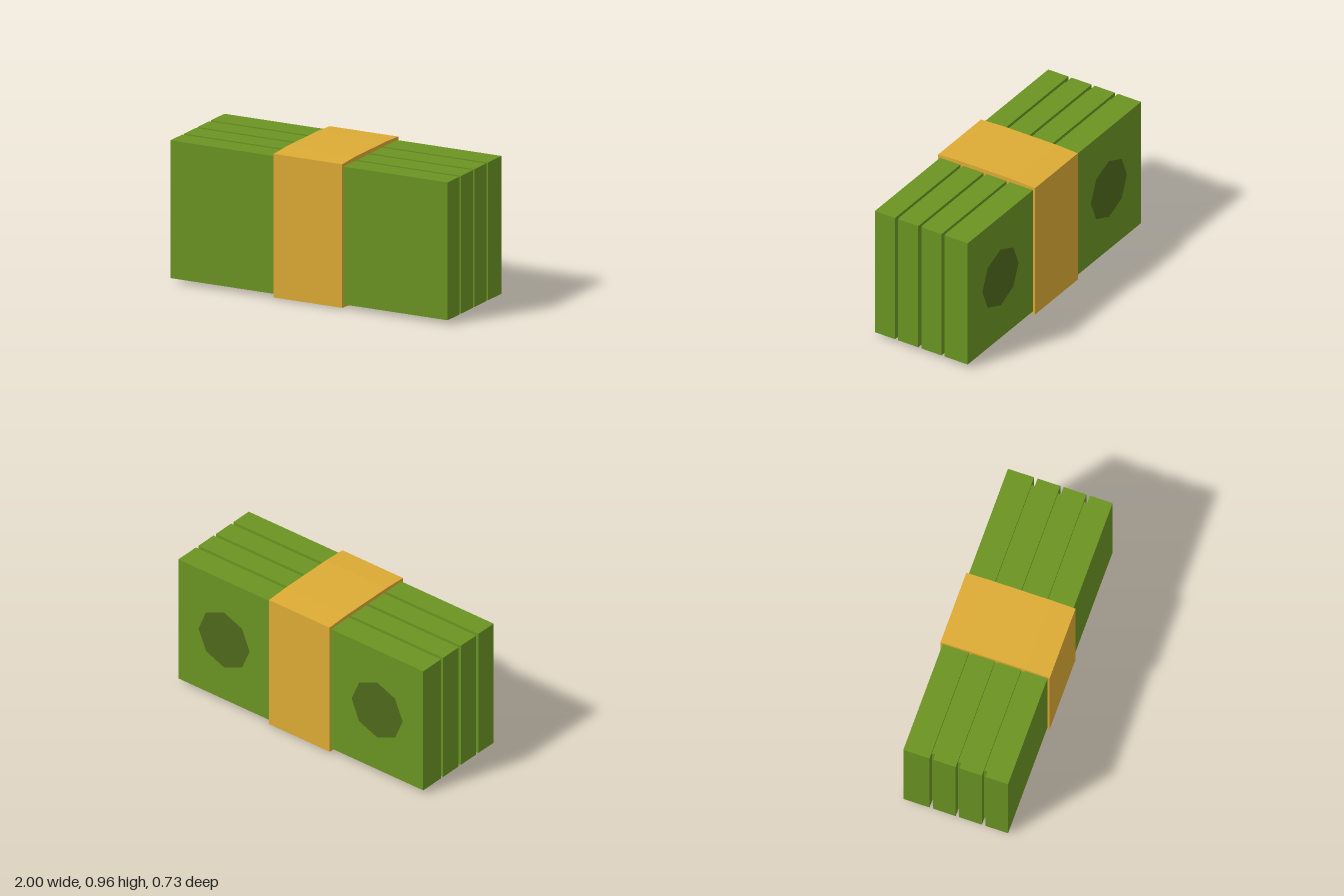
import * as THREE from 'three';

const paint = (color) => new THREE.MeshStandardMaterial({ color, flatShading: true });

export function createModel() {
  const group = new THREE.Group();
  const green = paint(0x6a9322);
  const darkGreen = paint(0x4f691b);
  const gold = paint(0xddab35);

  const add = (name, geometry, material, x, y, z) => {
    const mesh = new THREE.Mesh(geometry, material);
    mesh.name = name;
    mesh.position.set(x, y, z);
    group.add(mesh);
    return mesh;
  };

  // Four stacks of notes standing side by side: [front z, back z]
  const midY = 0.481;
  const stacks = [[0.35, 0.198], [0.175, 0.023], [0, -0.152], [-0.175, -0.35]];
  stacks.forEach(([front, back], i) => {
    add(`noteStack${i + 1}`, new THREE.BoxGeometry(2, 0.904, front - back), green, 0, midY, (front + back) / 2);
    // Recessed filler in the gap behind each stack
    if (i < stacks.length - 1) {
      const next = stacks[i + 1][0];
      add(`gapFiller${i + 1}`, new THREE.BoxGeometry(1.91, 0.862, back - next), green, 0, midY, (back + next) / 2);
    }
  });

  // Paper band around the middle, slightly bulged at top and bottom
  const profile = new THREE.Shape([
    [-0.365, 0.01], [-0.2, 0], [0.2, 0], [0.365, 0.01],
    [0.365, 0.952], [0.2, 0.96], [-0.2, 0.96], [-0.365, 0.952],
  ].map(([z, y]) => new THREE.Vector2(z, y)));
  const bandWidth = 0.495;
  const bandGeometry = new THREE.ExtrudeGeometry(profile, { depth: bandWidth, bevelEnabled: false });
  bandGeometry.translate(0, 0, -bandWidth / 2).rotateY(Math.PI / 2);
  add('paperBand', bandGeometry, gold, 0, 0, 0);

  // Octagonal marks on the back face
  for (const side of [-1, 1]) {
    const mark = add(side > 0 ? 'leftMark' : 'rightMark', new THREE.CircleGeometry(0.208, 8), darkGreen, side * 0.625, midY, -0.352);
    mark.rotation.y = Math.PI;
  }
  return group;
}
